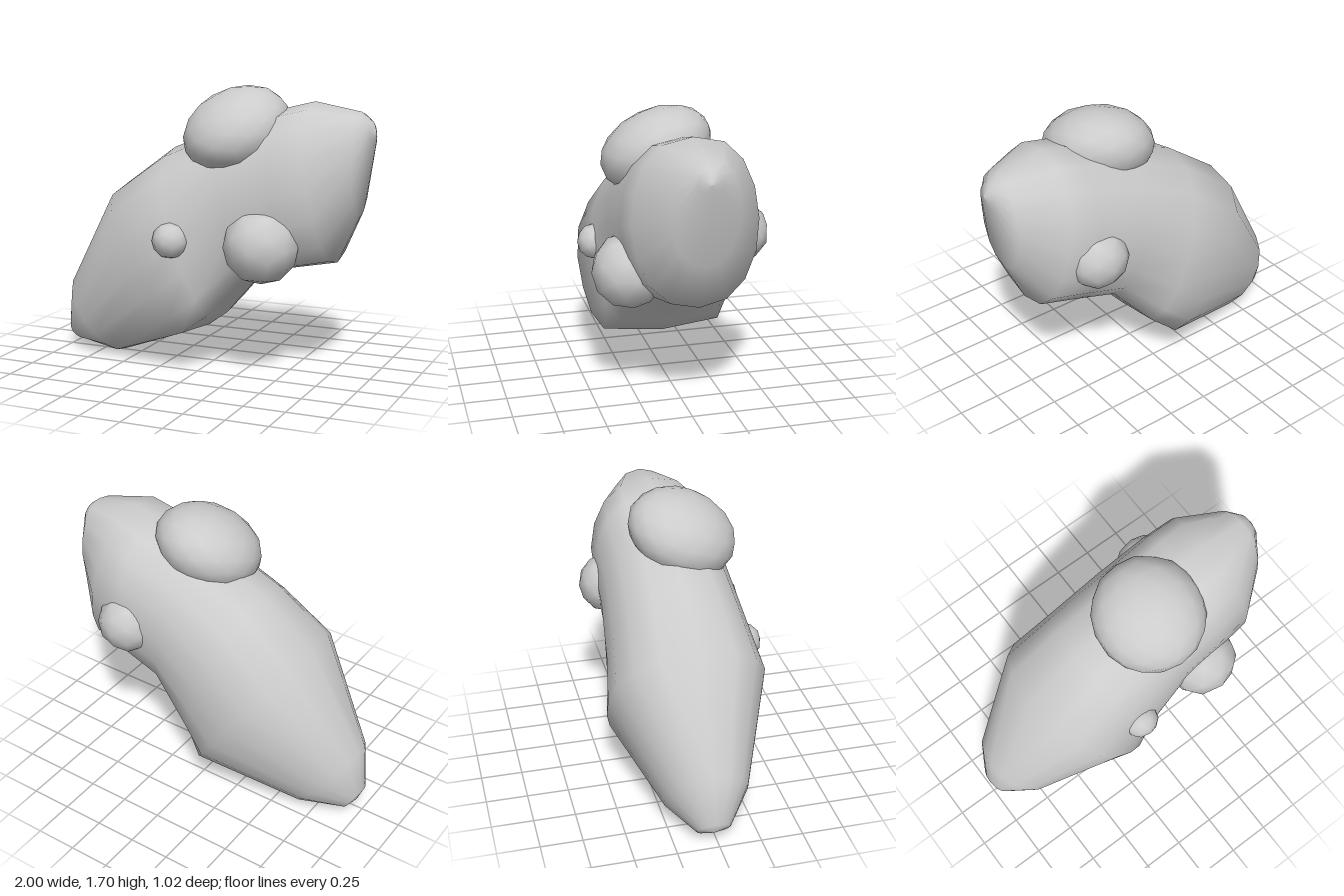
import * as THREE from 'three';

const material = new THREE.MeshStandardMaterial({ color: 0xcccccc, side: THREE.DoubleSide });

// Tilted rings along the body: upper x, y; lower x, y; half width in z;
// roundness of the upper and lower half (1 = ellipse, smaller = boxier)
const RINGS = [
  [-0.97, 0.085, -0.97, 0.085, 0, 1, 1],
  [-1.0, 0.16, -0.91, 0.04, 0.1, 1, 1],
  [-0.96, 0.45, -0.62, 0.0, 0.25, 1, 0.9],
  [-0.61, 1.06, -0.04, 0.22, 0.475, 0.8, 0.27],
  [-0.27, 1.31, 0.08, 0.31, 0.432, 0.85, 0.4],
  [0.1, 1.46, 0.31, 0.58, 0.4, 0.85, 0.6],
  [0.47, 1.58, 0.53, 0.63, 0.385, 0.75, 0.7],
  [0.63, 1.62, 0.78, 0.68, 0.365, 0.75, 0.85],
  [0.91, 1.57, 0.91, 0.96, 0.195, 0.85, 1],
  [0.97, 1.52, 0.99, 1.38, 0.07, 1, 1],
  [1.0, 1.45, 1.0, 1.45, 0, 1, 1],
];

function loft(rings, sides, zMid) {
  const positions = [], index = [];
  rings.forEach(([ux, uy, lx, ly, w, upper, lower], i) => {
    for (let j = 0; j < sides; j++) {
      const a = (j / sides) * Math.PI * 2, c = Math.cos(a), s = Math.sin(a);
      const t = (1 + c) / 2;
      const bulge = Math.abs(s) < 1e-6 ? 0 : Math.sign(s) * Math.abs(s) ** (c > 0 ? upper : lower);
      positions.push(lx + (ux - lx) * t, ly + (uy - ly) * t, zMid + w * bulge);
      if (i === rings.length - 1) continue;
      const p = i * sides + j, q = i * sides + (j + 1) % sides;
      index.push(p, q, p + sides, q, q + sides, p + sides);
    }
  });
  const geometry = new THREE.BufferGeometry();
  geometry.setAttribute('position', new THREE.Float32BufferAttribute(positions, 3));
  geometry.setIndex(index);
  geometry.computeVertexNormals();
  return geometry;
}

function lump(name, detail, position, radii, rotation = [0, 0, 0]) {
  const mesh = new THREE.Mesh(new THREE.IcosahedronGeometry(1, detail), material);
  mesh.name = name;
  mesh.position.set(...position);
  mesh.scale.set(...radii);
  mesh.rotation.set(...rotation);
  return mesh;
}

export function createModel() {
  const group = new THREE.Group();
  group.name = 'lumpyRock';

  // Long leaning body
  const body = new THREE.Mesh(loft(RINGS, 16, -0.025), material);
  body.name = 'body';
  group.add(body);

  // Rounded lumps sunk into the body
  group.add(
    lump('topLump', 2, [0.175, 1.45, 0.07], [0.325, 0.23, 0.34], [0.38, 0, 0.25]),
    lump('frontLump', 1, [0.42, 0.805, 0.29], [0.225, 0.222, 0.22]),
    lump('smallFrontLump', 1, [-0.11, 0.815, 0.385], [0.112, 0.108, 0.105]),
    lump('backLump', 1, [0.48, 1.01, -0.345], [0.185, 0.178, 0.168]),
  );
  return group;
}
